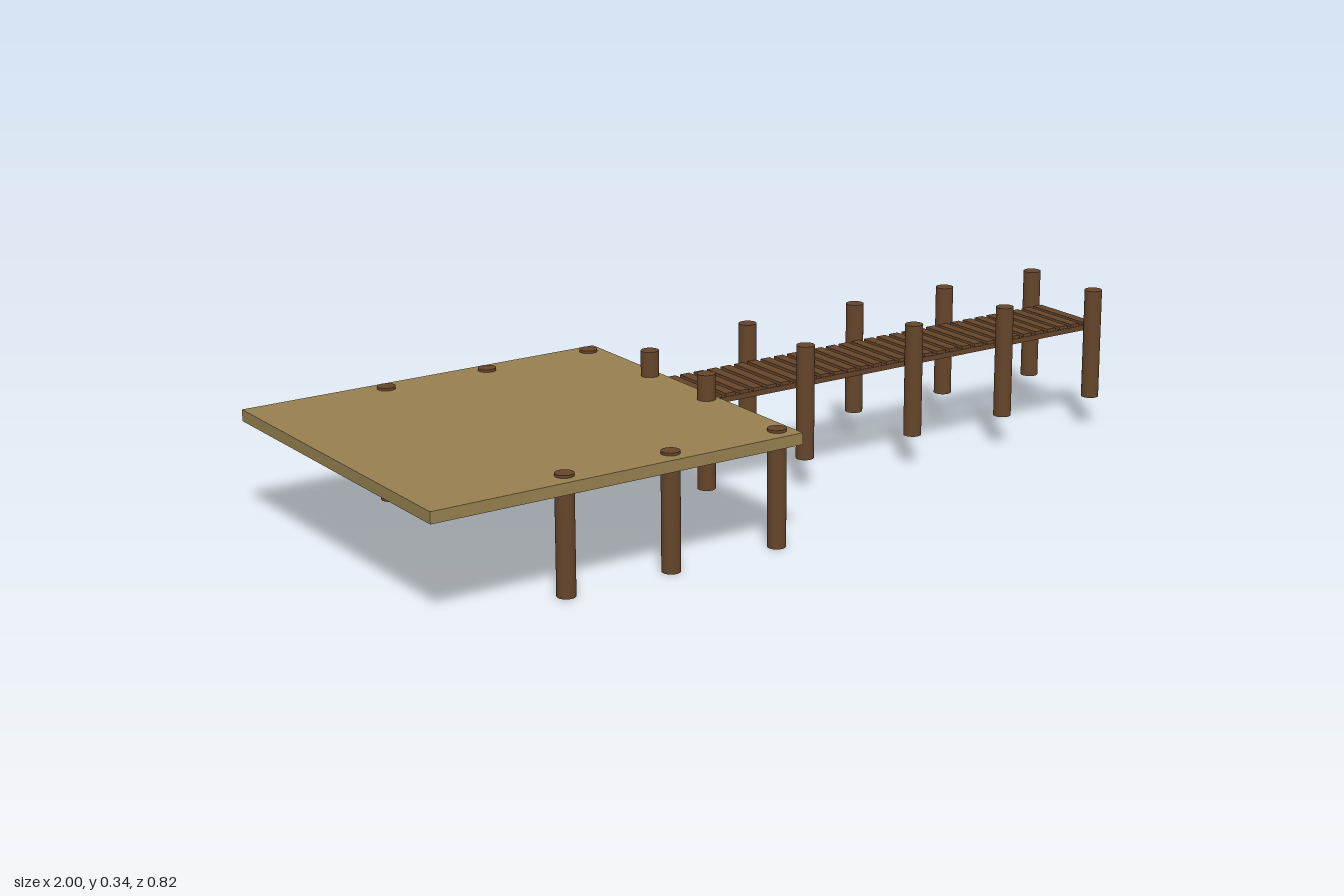
import * as THREE from 'three';

export function createModel() {
  const group = new THREE.Group();
  const deckWood = new THREE.MeshStandardMaterial({ color: 0x967f50 });
  const darkWood = new THREE.MeshStandardMaterial({ color: 0x65452a });

  // Box given by its minimum and maximum corners
  function box(name, material, [x0, y0, z0], [x1, y1, z1]) {
    const mesh = new THREE.Mesh(new THREE.BoxGeometry(x1 - x0, y1 - y0, z1 - z0), material);
    mesh.position.set((x0 + x1) / 2, (y0 + y1) / 2, (z0 + z1) / 2);
    mesh.name = name;
    group.add(mesh);
  }

  // Round upright post
  function post(name, x, z, bottom, top) {
    const mesh = new THREE.Mesh(new THREE.CylinderGeometry(0.0205, 0.0205, top - bottom, 32), darkWood);
    mesh.position.set(x, (bottom + top) / 2, z);
    mesh.name = name;
    group.add(mesh);
  }

  // Wide platform and the posts that show just above it
  box('platform', deckWood, [-1, 0.232, -0.411], [-0.111, 0.258, 0.411]);
  for (const x of [-0.67, -0.415, -0.147]) {
    post('platformPostFront', x, 0.368, 0.001, 0.264);
    post('platformPostBack', x, -0.374, 0.002, 0.264);
  }

  // Walkway posts; the pair beside the platform sits lower
  for (const x of [-0.138, 0.128, 0.433, 0.7, 0.972]) {
    const drop = x < 0 ? 0.021 : 0;
    post('walkwayPostFront', x, 0.093, 0.075 - drop, 0.337 - drop);
    post('walkwayPostBack', x, -0.13, 0.076 - drop, 0.337 - drop);
  }

  // Two long rails carrying the planks
  box('railFront', darkWood, [-0.115, 0.235, 0.052], [1, 0.247, 0.075]);
  box('railBack', darkWood, [-0.115, 0.235, -0.11], [1, 0.247, -0.087]);

  // Evenly spaced cross planks
  const plankCount = 30;
  for (let i = 0; i < plankCount; i++) {
    const x = -0.097 + i * 0.0369;
    box('plank', darkWood, [x - 0.0125, 0.247, -0.108], [x + 0.0125, 0.254, 0.073]);
  }

  return group;
}
